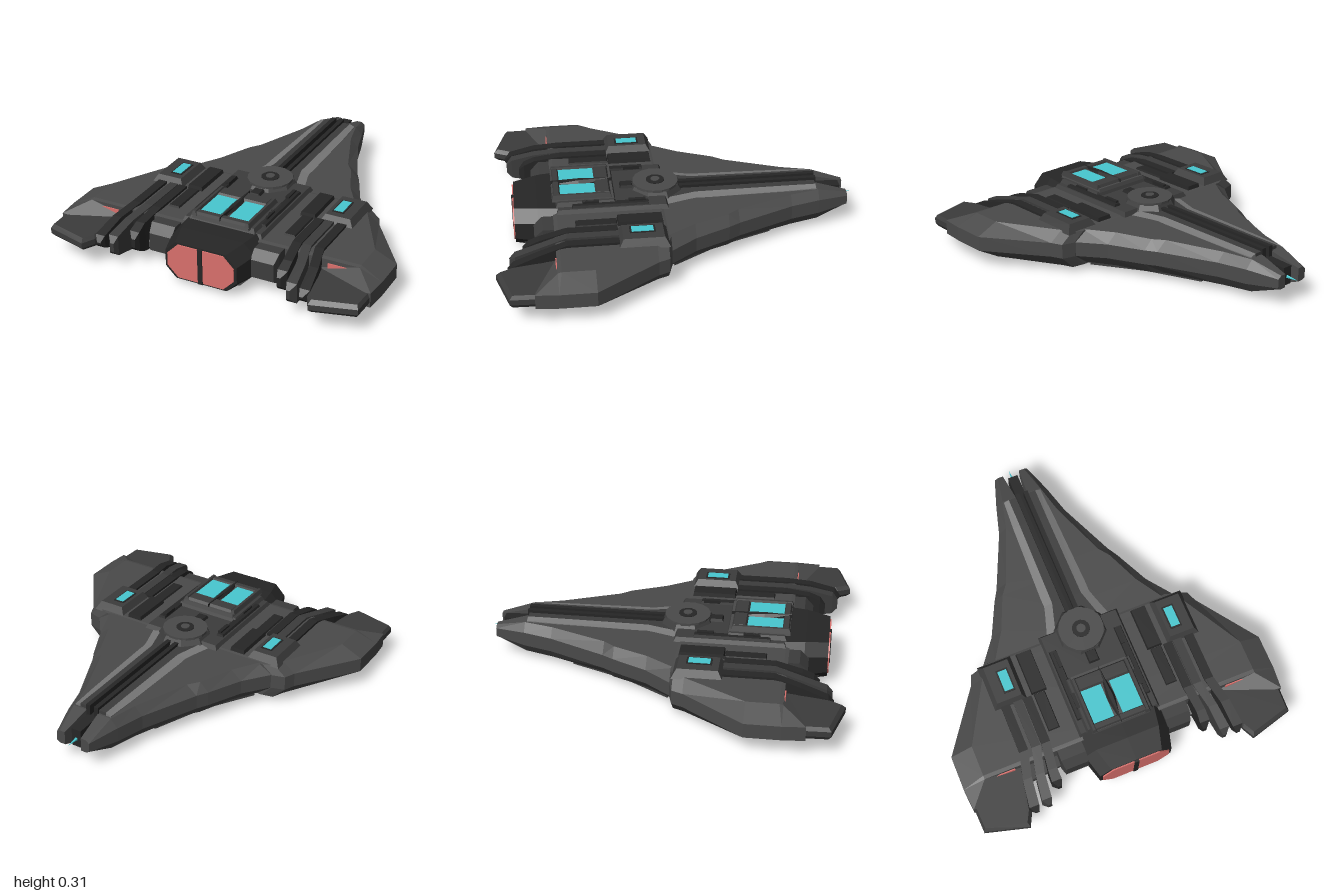
import * as THREE from 'three';

const mat = (color) => new THREE.MeshStandardMaterial({ color, flatShading: true, side: THREE.DoubleSide });

// Closed skin through rings of [x, y, z]; side -1 gives the mirrored copy.
function loft(rings, side = 1) {
  const n = rings[0].length, pos = [], idx = [];
  rings.forEach(r => r.forEach(([x, y, z]) => pos.push(x * side, y, z)));
  const tri = (a, b, c) => (side > 0 ? idx.push(a, b, c) : idx.push(a, c, b));
  for (let k = 0; k < rings.length - 1; k++) {
    for (let i = 0; i < n; i++) {
      const a = k * n + i, b = k * n + (i + 1) % n;
      tri(a, b, b + n);
      tri(a, b + n, a + n);
    }
  }
  const e = (rings.length - 1) * n;
  for (let i = 1; i < n - 1; i++) {
    tri(0, i + 1, i);
    tri(e, e + i, e + i + 1);
  }
  const g = new THREE.BufferGeometry();
  g.setAttribute('position', new THREE.Float32BufferAttribute(pos, 3));
  g.setIndex(idx);
  const flat = g.toNonIndexed();
  flat.computeVertexNormals();
  return flat;
}

// Half section of the hull: flat top and belly, chamfers and an edge band.
const section = (z, xi, xo, c, yb, yt, band = 0.04, zTip = z) => [
  [xi, yb, z], [xo - c, yb, z], [xo, 0.145 - band, zTip],
  [xo, 0.145 + band, zTip], [xo - c, yt, z], [xi, yt, z]];

// Rectangular section facing +z.
const rect = (z, x0, x1, y0, y1) => [[x0, y0, z], [x1, y0, z], [x1, y1, z], [x0, y1, z]];

// Block with sloping sides; a negative inset flares it.
const block = (x0, x1, z0, z1, y0, y1, d = 0) => [[y0, 0], [y1, d]].map(([y, i]) => [
  [x0 + i, y, z0 + i], [x0 + i, y, z1 - i], [x1 - i, y, z1 - i], [x1 - i, y, z0 + i]]);

export function createModel() {
  const group = new THREE.Group();
  const hull = mat(0x4a4a4a), plate = mat(0x3c3c3c), dark = mat(0x262626);
  const trim = mat(0x777777), red = mat(0xd9706c), cyan = mat(0x48c8d0);

  const add = (name, geo, m) => {
    const mesh = new THREE.Mesh(geo, m);
    mesh.name = name;
    group.add(mesh);
    return mesh;
  };
  const pair = (name, rings, m) => {
    add(name + 'Left', loft(rings, 1), m);
    add(name + 'Right', loft(rings, -1), m);
  };

  // Forward hull: two prongs either side of the main gun
  pair('forwardHull', [
    section(-0.95, 0.05, 0.10, 0.02, 0.11, 0.185, 0.025),
    section(-0.78, 0.035, 0.155, 0.04, 0.05, 0.23),
    section(-0.62, 0.035, 0.20, 0.045, 0.045, 0.232),
    section(-0.31, 0.035, 0.335, 0.06, 0.045, 0.235),
    section(-0.25, 0.035, 0.37, 0.05, 0.045, 0.235),
    section(-0.06, 0.035, 0.46, 0.06, 0.045, 0.237),
    section(0.10, 0.035, 0.58, 0.08, 0.045, 0.237)], hull);

  // Rear hull and swept wings, with a collar at the joint
  pair('wing', [
    section(0.08, 0, 0.57, 0.06, 0.04, 0.235),
    section(0.10, 0, 0.64, 0.07, 0.035, 0.24),
    section(0.16, 0, 0.665, 0.07, 0.035, 0.24),
    section(0.49, 0, 0.90, 0.12, 0.035, 0.24),
    section(0.66, 0, 0.90, 0.12, 0.035, 0.24, 0.04, 0.68),
    section(0.68, 0, 0.89, 0.11, 0.04, 0.235, 0.04, 0.80)], hull);

  // Glowing wing exhausts, bent around the clipped corner
  pair('wingExhaust', [0, 0.01].map(d => [
    [0.61, 0.06, 0.676 + d], [0.78, 0.06, 0.676 + d], [0.872, 0.115, 0.796 + d],
    [0.872, 0.175, 0.796 + d], [0.78, 0.215, 0.676 + d], [0.61, 0.215, 0.676 + d]]), red);

  // Thin tail blades behind the wings
  const bladeTop = [[0.56, 0.66], [0.61, 0.92], [0.645, 0.99], [0.88, 0.925], [0.885, 0.79], [0.78, 0.67]];
  pair('tailBlade', [[0.11, 0.02], [0.13, 0], [0.16, 0], [0.18, 0.02]].map(([y, i]) =>
    bladeTop.map(([x, z]) => [x + (0.74 - x) * i * 4, y, z - Math.max(0, z - 0.8) * i * 6])), plate);

  // Light strips along the inner deck
  const strip = [[-0.77, 0.08, 0.11], [-0.6, 0.08, 0.12], [-0.1, 0.085, 0.135], [0.06, 0.13, 0.185]];
  pair('deckStrip', strip.map(([z, a, b]) =>
    [[a, 0.21, z], [b, 0.21, z], [b, 0.236, z], [a, 0.248, z]]), trim);
  pair('innerDeck', strip.map(([z, a]) => rect(z, 0.035, a, 0.21, 0.248)), plate);

  // Main gun in the slot
  add('gunCore', loft([rect(-0.92, -0.028, 0.028, 0.10, 0.20), rect(0, -0.028, 0.028, 0.10, 0.235)]), dark);
  pair('gunRail', [rect(-0.78, 0.012, 0.037, 0.09, 0.264), rect(0, 0.012, 0.037, 0.09, 0.264)], dark);
  const tip = add('gunTip', new THREE.ConeGeometry(0.01, 0.08, 6), cyan);
  tip.rotation.x = -Math.PI / 2;
  tip.position.set(0, 0.145, -0.95);

  // Central deck, side rails and clamps
  add('centralDeck', loft(block(-0.25, 0.25, 0.04, 0.68, 0.2, 0.262, 0.03)), plate);
  pair('deckRail', block(0.165, 0.215, 0.16, 0.58, 0.25, 0.275, 0.008), dark);
  for (const z of [0.18, 0.43]) pair('deckClamp', block(0.17, 0.19, z, z + 0.09, 0.26, 0.285), dark);

  // Round turret
  const ring = (name, r0, r1, h, y, m, n) => {
    const c = add(name, new THREE.CylinderGeometry(r0, r1, h, n), m);
    c.position.set(0, y, 0.11);
    c.rotation.y = Math.PI / n;
  };
  ring('turretBase', 0.13, 0.165, 0.06, 0.25, plate, 8);
  ring('turretDisc', 0.125, 0.125, 0.02, 0.28, hull, 16);
  ring('turretHub', 0.05, 0.05, 0.012, 0.288, dark, 12);
  ring('turretCap', 0.025, 0.025, 0.016, 0.29, hull, 12);
  add('turretTail', loft(block(-0.035, 0.035, 0.23, 0.31, 0.25, 0.278, 0.01)), dark);

  // Cabin with two skylights and a split frame
  add('cabinBase', loft(block(-0.2, 0.2, 0.33, 0.67, 0.24, 0.285, 0.02)), plate);
  add('cabinRoof', loft(block(-0.165, 0.165, 0.345, 0.68, 0.28, 0.3, 0.005)), hull);
  pair('skylight', block(0.025, 0.14, 0.445, 0.635, 0.295, 0.306), cyan);
  pair('skylightSideFrame', block(0.138, 0.168, 0.36, 0.68, 0.295, 0.318, 0.008), plate);
  add('skylightRearFrame', loft(block(-0.15, 0.15, 0.633, 0.675, 0.295, 0.315, 0.008)), plate);
  add('skylightFrontFrame', loft(block(-0.15, 0.15, 0.36, 0.447, 0.295, 0.315, 0.012)), plate);
  add('cabinSpine', loft([[0.295, 1], [0.32, 0.4]].map(([y, w]) =>
    [[0, y, 0.35], [-0.027 * w, y, 0.53], [0, y, 0.68], [0.027 * w, y, 0.53]])), dark);

  // Main engine: faceted housing and a split glowing nozzle
  const octagon = (z, w, y0, y1, c) => [
    [0, y0, z], [w - c, y0, z], [w, y0 + c, z], [w, y1 - c, z], [w - c, y1, z], [0, y1, z]];
  pair('engineHousing', [octagon(0.64, 0.25, 0.03, 0.26, 0.05), octagon(0.76, 0.24, 0.03, 0.258, 0.06),
    octagon(0.885, 0.205, 0.035, 0.245, 0.06)], dark);
  pair('engineGlow', [octagon(0.87, 0.19, 0.045, 0.236, 0.06), octagon(0.892, 0.19, 0.045, 0.236, 0.06)], red);
  add('engineDivider', loft([rect(0.85, -0.013, 0.013, 0.04, 0.24), rect(0.897, -0.013, 0.013, 0.04, 0.24)]), dark);
  pair('engineSideBlock', [rect(0.66, 0.23, 0.37, 0.06, 0.235), rect(0.74, 0.23, 0.37, 0.065, 0.235),
    rect(0.785, 0.23, 0.36, 0.09, 0.19)], plate);

  // Side guns beside the deck
  pair('sideGunHousing', block(0.29, 0.385, 0.1, 0.35, 0.22, 0.262, 0.008), dark);
  pair('sideGunBarrel', block(0.3, 0.38, 0.34, 0.575, 0.22, 0.25, 0.012), dark);

  // Raised wing pods with small windows
  pair('wingPod', block(0.405, 0.6, 0.09, 0.36, 0.23, 0.278, 0.028), plate);
  pair('podWindow', block(0.46, 0.51, 0.17, 0.285, 0.27, 0.284), cyan);
  pair('podWindowFrame', block(0.452, 0.518, 0.16, 0.295, 0.27, 0.281), dark);

  // Layered ridges running back into tail fingers
  const fingers = [[0.385, 0.42, 0.85, 0.09, 0.2], [0.44, 0.505, 0.92, 0.08, 0.19], [0.51, 0.58, 0.93, 0.11, 0.18]];
  fingers.forEach(([x, xe, ze, y0, y1], i) => {
    const w = 0.05;
    pair('tailFinger', [rect(0.35, x, x + w, 0.2, 0.253), rect(0.62, x, x + w, 0.055, 0.253),
      rect(0.76, (x + xe) / 2, (x + xe) / 2 + w, 0.06, 0.225),
      rect(ze - 0.03, xe - 0.02, xe + w - 0.015, y0, y1),
      rect(ze, xe - 0.01, xe + 0.01, y0 + 0.03, y1 - 0.03)], i === 1 ? plate : dark);
  });

  // Belly: forward bulge, rear keel, side strakes and vents
  const belly = (z, w, y) => [[0, y, z], [w * 0.6, y, z], [w, 0.06, z], [0, 0.06, z]];
  pair('forwardBelly', [belly(-0.64, 0.12, 0.045), belly(-0.45, 0.2, 0.005), belly(-0.3, 0.22, 0.005),
    belly(-0.06, 0.24, 0.043)], plate);
  pair('rearKeel', [belly(0.06, 0.24, 0.04), belly(0.13, 0.24, 0.008), belly(0.57, 0.24, 0.008),
    belly(0.84, 0.2, 0.038)], plate);
  pair('bellyStrake', [rect(0.12, 0.225, 0.25, 0.03, 0.05), rect(0.2, 0.225, 0.25, 0.01, 0.05),
    rect(0.56, 0.225, 0.25, 0.01, 0.05), rect(0.66, 0.225, 0.25, 0.03, 0.05)], dark);
  pair('bellyChevron', [rect(-0.5, 0.16, 0.2, 0.036, 0.06), rect(-0.2, 0.25, 0.31, 0.03, 0.06),
    rect(0.06, 0.42, 0.48, 0.036, 0.06)], plate);
  for (const x of [0.44, 0.54, 0.64]) pair('bellyVent', block(x, x + 0.03, 0.4, 0.56, 0.03, 0.045), dark);

  return group;
}
